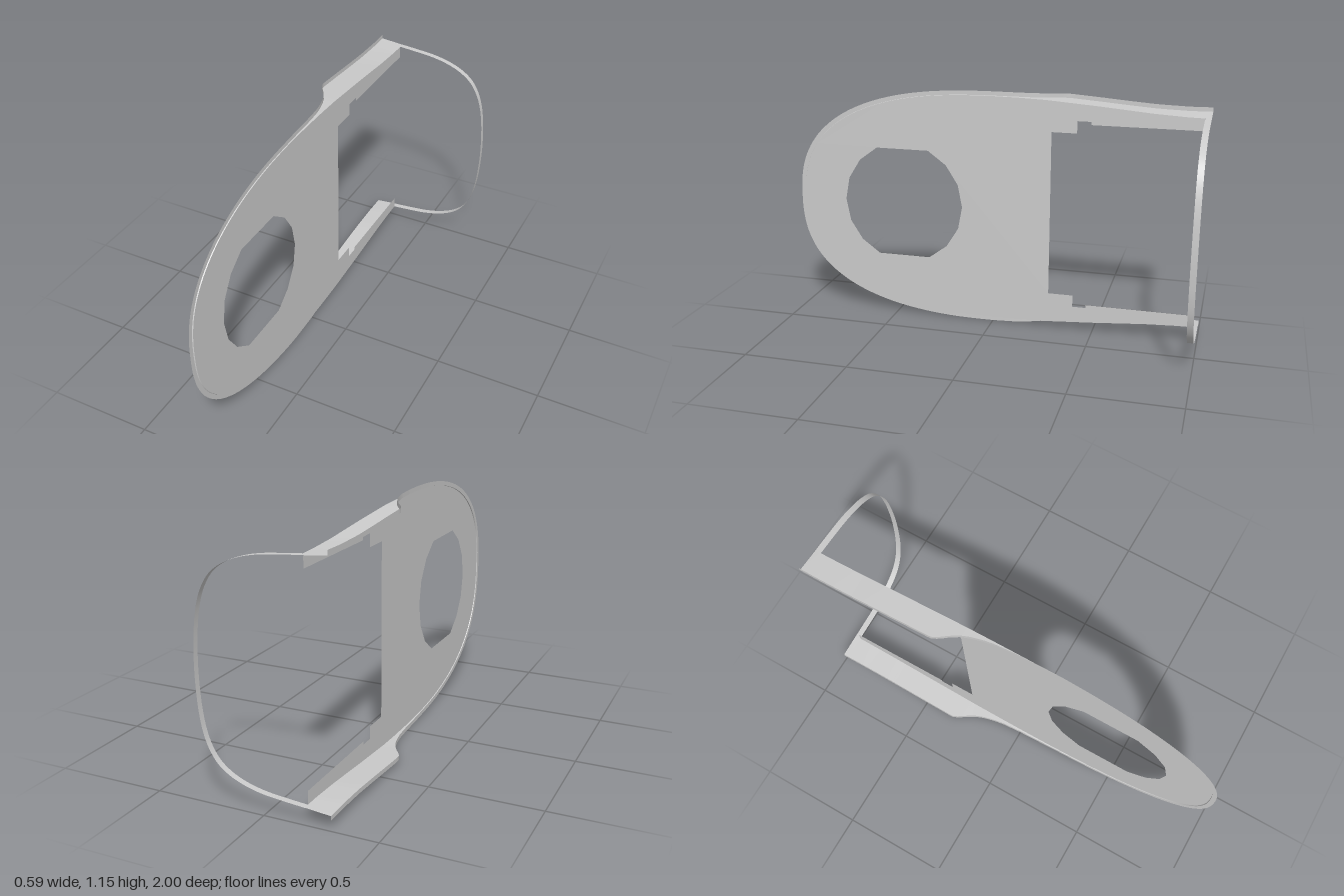
import * as THREE from 'three';

const MID = 0.576;      // height of the symmetry plane
const PLATE_X = -0.184; // plane of the flat plate
const material = new THREE.MeshStandardMaterial({ color: 0xcccccc, side: THREE.DoubleSide });

// Linear lookup in a short list of [key, value] pairs with rising keys
function lookup(table, k) {
  if (k <= table[0][0]) return table[0][1];
  for (let i = 1; i < table.length; i++) {
    const [k0, v0] = table[i - 1], [k1, v1] = table[i];
    if (k <= k1) return v0 + (v1 - v0) * (k - k0) / (k1 - k0);
  }
  return table[table.length - 1][1];
}

// Inward narrowing of the outline towards the rear
const DROP = [[0, 0], [0.12, 0.0015], [0.25, 0.006], [0.5, 0.024], [0.75, 0.045], [0.9, 0.053], [1, 0.055]];
// Sideways position of the lip along the length
const LIP_X = [[-1, -0.298], [-0.345, -0.298], [-0.335, -0.295], [-0.31, -0.282], [-0.28, -0.26], [-0.24, -0.236],
  [-0.2, -0.221], [-0.15, -0.208], [-0.1, -0.2], [0, -0.193], [0.2, -0.188]];

// Half outline from the nose to the rear as [z, half height]
function halfOutline(noseZ, halfHeight, flare, rearZ = -1) {
  const points = [], p = 2 / 2.5;
  for (let i = 0; i <= 40; i++) {
    const t = (i / 40) * Math.PI / 2;
    points.push([noseZ * Math.max(0, Math.cos(t)) ** p, halfHeight * Math.sin(t) ** p]);
  }
  for (let i = 1; i <= 50; i++) {
    const z = rearZ * i / 50;
    const out = flare * Math.max(0, (-z - 0.5) / 0.5) ** 2;
    points.push([z, halfHeight - lookup(DROP, -z) + out]);
  }
  return points;
}

// Full outline from the upper rear, round the nose, to the lower rear
function fullOutline(half) {
  return [...half.slice(1).reverse(), ...half.map(([z, h]) => [z, -h])];
}

// Smooth open sheet between two rails of equal length
function sheet(name, railA, railB) {
  const positions = [], index = [];
  railA.forEach((a, i) => {
    positions.push(...a, ...railB[i]);
    if (i) {
      const k = 2 * i;
      index.push(k - 2, k - 1, k, k - 1, k + 1, k);
    }
  });
  const geometry = new THREE.BufferGeometry();
  geometry.setAttribute('position', new THREE.Float32BufferAttribute(positions, 3));
  geometry.setIndex(index);
  geometry.computeVertexNormals();
  const mesh = new THREE.Mesh(geometry, material);
  mesh.name = name;
  return mesh;
}

// Flat plate with the round opening and the stepped rear cut-out
function buildPlate() {
  const cutout = [[-0.97, 0.443], [-0.465, 0.443], [-0.465, 0.458], [-0.4, 0.458], [-0.4, 0.4], [-0.28, 0.4]];
  const outline = [
    ...fullOutline(halfOutline(0.976, 0.555, 0, -0.97)),
    ...cutout.map(([z, h]) => [z, -h]),
    ...cutout.slice().reverse(),
  ];
  const shape = new THREE.Shape(outline.map(([z, h]) => new THREE.Vector2(z, MID + h)));

  // Circle with flat top and bottom
  const hole = [], arc = Math.asin(0.272 / 0.302);
  for (const start of [0, Math.PI]) {
    for (let i = 0; i <= 6; i++) {
      const a = start + arc * (i / 3 - 1);
      hole.push(new THREE.Vector2(0.457 + 0.302 * Math.cos(a), MID + 0.002 + 0.302 * Math.sin(a)));
    }
  }
  shape.holes.push(new THREE.Path(hole));

  const geometry = new THREE.ShapeGeometry(shape);
  geometry.rotateY(-Math.PI / 2);
  geometry.translate(PLATE_X, 0, 0);
  const mesh = new THREE.Mesh(geometry, material);
  mesh.name = 'plate';
  return mesh;
}

// Thin band arching sideways between the rear ends of the side walls
function buildStrap() {
  const half = [[-0.185, 0.501], [-0.1, 0.494], [0, 0.483], [0.08, 0.464], [0.15, 0.434], [0.205, 0.392],
    [0.243, 0.335], [0.267, 0.27], [0.283, 0.185], [0.291, 0.095]];
  const points = [...half, [0.294, 0], ...half.slice().reverse().map(([x, h]) => [x, -h])];
  const curve = new THREE.CatmullRomCurve3(points.map(([x, h]) => new THREE.Vector3(x, MID + h, 0)));
  const samples = curve.getPoints(120);
  return sheet('rearStrap', samples.map(p => [p.x, p.y, -1]), samples.map(p => [p.x, p.y, -0.972]));
}

export function createModel() {
  const model = new THREE.Group();
  model.name = 'bracket';

  const base = fullOutline(halfOutline(0.976, 0.555, 0)).map(([z, h]) => [PLATE_X, MID + h, z]);
  const toLip = ([z, h]) => [lookup(LIP_X, z), MID + h, z];
  const lipInner = fullOutline(halfOutline(0.978, 0.556, 0.01)).map(toLip);
  const lipOuter = fullOutline(halfOutline(1, 0.576, 0.01)).map(toLip);

  model.add(
    buildPlate(),
    sheet('edgeWall', base, lipInner),
    sheet('lip', lipInner, lipOuter),
    buildStrap(),
  );
  return model;
}
